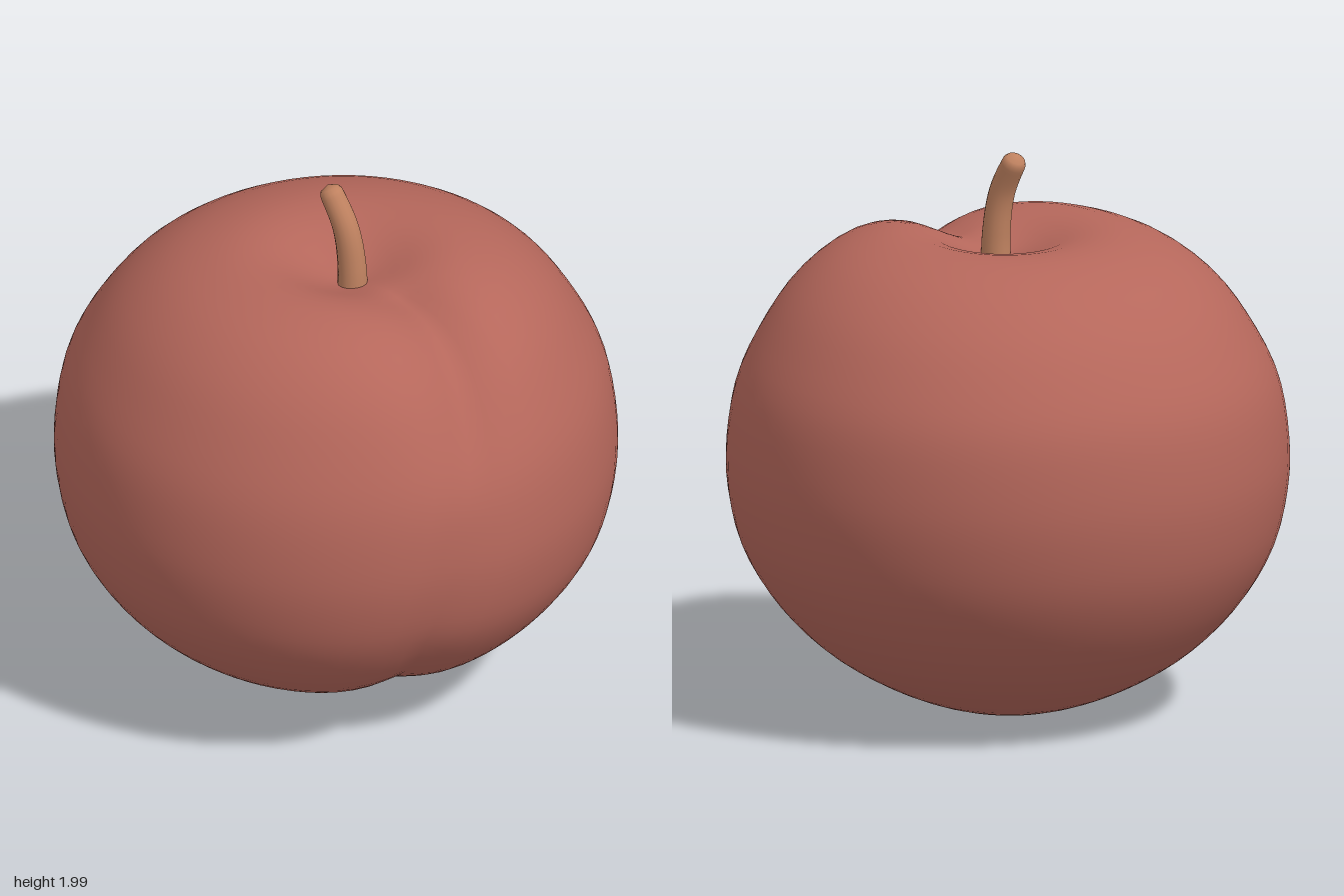
import * as THREE from 'three';
import { mergeVertices } from 'three/addons/utils/BufferGeometryUtils.js';

const fruitSkin = new THREE.MeshStandardMaterial({ color: 0xb5675b });
fruitSkin.name = 'fruitSkin';
const stemBark = new THREE.MeshStandardMaterial({ color: 0xc08260 });
stemBark.name = 'stemBark';

const { smoothstep } = THREE.MathUtils;

// Weld seams and poles, then smooth
function smooth(geometry) {
  geometry.deleteAttribute('uv');
  geometry.deleteAttribute('normal');
  const welded = mergeVertices(geometry, 1e-4);
  welded.computeVertexNormals();
  return welded;
}

// Round body: a turned profile with an off-centre dimple and a curved crease
function createBody() {
  const profile = new THREE.SplineCurve([
    [0, 0.01], [0.11, 0.012], [0.28, 0.05], [0.47, 0.13], [0.66, 0.25],
    [0.82, 0.41], [0.935, 0.6], [0.985, 0.8], [0.99, 0.98], [0.955, 1.19],
    [0.87, 1.37], [0.755, 1.53], [0.6, 1.65], [0.42, 1.712], [0.28, 1.71],
    [0.16, 1.665], [0.07, 1.625], [0, 1.61],
  ].map(([r, y]) => new THREE.Vector2(r, y)));
  const rows = 48, columns = 72;
  const points = profile.getSpacedPoints(rows);
  points[0].x = points[rows].x = 0;
  const geometry = new THREE.LatheGeometry(points, columns);
  const position = geometry.attributes.position;
  const centre = new THREE.Vector3(0, 0.9, 0);
  const p = new THREE.Vector3();

  for (let i = 0; i < position.count; i++) {
    const row = i % (rows + 1);
    const column = Math.floor(i / (rows + 1)) % columns;
    const t = row / rows;
    const { x: r, y } = points[row];
    let angle = (column / columns) * Math.PI * 2;
    if (angle > Math.PI) angle -= Math.PI * 2;

    // The columns twist so that one always follows the crease
    const twist = THREE.MathUtils.degToRad(50) * Math.max(0, t - 0.38);
    const toTop = smoothstep(y, 1.1, 1.7);
    const shift = toTop * Math.max(0, 1 - r) ** 2;
    p.set(r * Math.sin(angle + twist) + 0.02 * shift, y,
      r * Math.cos(angle + twist) + 0.1 * shift);
    p.y += p.z * (0.055 * toTop + 0.03 * (1 - smoothstep(y, 0.1, 0.8)));

    // The crease is deepest at the shoulder and fades out at both poles
    const d = angle * r;
    const width = d < 0 ? 0.13 + 0.07 * toTop : 0.13;
    const depth = (0.04 + 0.075 * toTop) * smoothstep(r, 0.04, 0.4);
    const dent = depth * Math.exp(-Math.pow(Math.abs(d) / width, 1.4));
    p.addScaledVector(centre.clone().sub(p).normalize(), dent);
    position.setXYZ(i, p.x, p.y, p.z);
  }
  const body = new THREE.Mesh(smooth(geometry), fruitSkin);
  body.name = 'fruitBody';
  return body;
}

// Bent stem: a tube that tapers and rounds off at the tip
function createStem() {
  const path = new THREE.CatmullRomCurve3([
    new THREE.Vector3(0.02, 1.54, 0.11),
    new THREE.Vector3(0.02, 1.7, 0.105),
    new THREE.Vector3(0.004, 1.85, 0.083),
    new THREE.Vector3(-0.037, 1.995, 0.016),
  ]);
  const rings = 32, sides = 16;
  const geometry = new THREE.TubeGeometry(path, rings, 1, sides);
  const position = geometry.attributes.position;
  const p = new THREE.Vector3();
  for (let i = 0; i < position.count; i++) {
    const t = Math.floor(i / (sides + 1)) / rings;
    const core = path.getPointAt(t);
    const cap = Math.max(0, (t - 0.92) / 0.08);
    const radius = (0.055 - 0.013 * t) * Math.sqrt(Math.max(0, 1 - cap * cap));
    p.fromBufferAttribute(position, i).sub(core).multiplyScalar(radius).add(core);
    position.setXYZ(i, p.x, p.y, p.z);
  }
  const stem = new THREE.Mesh(smooth(geometry), stemBark);
  stem.name = 'stem';
  return stem;
}

export function createModel() {
  const model = new THREE.Group();
  model.name = 'stoneFruit';
  model.add(createBody(), createStem());
  return model;
}
